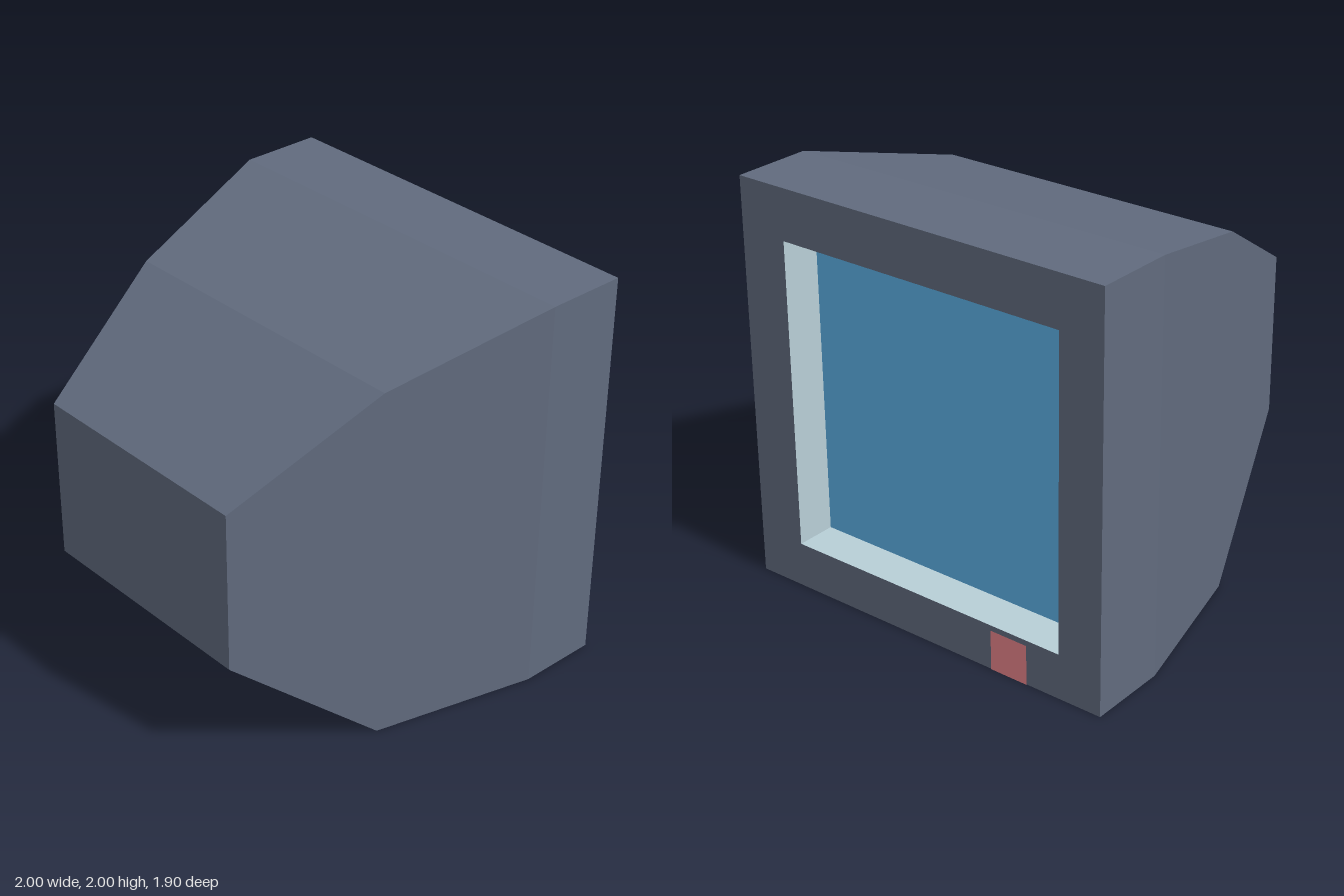
import * as THREE from 'three';

const casing = new THREE.MeshStandardMaterial({ color: 0x616b7e });
casing.name = 'slate casing';
const trim = new THREE.MeshStandardMaterial({ color: 0xb8cfd7 });
trim.name = 'pale trim';
const glass = new THREE.MeshStandardMaterial({ color: 0x5cb0e6 });
glass.name = 'blue glass';
const red = new THREE.MeshStandardMaterial({ color: 0xe6838a });
red.name = 'red button';

// Flat-faced skin through rectangular sections [z, left x, right x, bottom y, top y]
function loft(sections, capEnd) {
  const rings = sections.map(([z, x0, x1, y0, y1]) => [[x0, y0, z], [x1, y0, z], [x1, y1, z], [x0, y1, z]]);
  const pos = [];
  const quad = (a, b, c, d) => pos.push(...a, ...b, ...c, ...a, ...c, ...d);
  for (let i = 0; i < rings.length - 1; i++) {
    const a = rings[i], b = rings[i + 1];
    for (let k = 0; k < 4; k++) {
      const n = (k + 1) % 4;
      quad(a[k], a[n], b[n], b[k]);
    }
  }
  if (capEnd) quad(...rings[rings.length - 1]);
  const geo = new THREE.BufferGeometry();
  geo.setAttribute('position', new THREE.Float32BufferAttribute(pos, 3));
  geo.computeVertexNormals();
  return geo;
}

function rectPoints(x0, x1, y0, y1) {
  return [[x0, y0], [x1, y0], [x1, y1], [x0, y1]].map(([x, y]) => new THREE.Vector2(x, y));
}

// Flat face looking toward -z; x is mirrored by the half turn
function faceBack(shape, z) {
  return new THREE.ShapeGeometry(shape).rotateY(Math.PI).translate(0, 0, z);
}

export function createModel() {
  const group = new THREE.Group();
  group.name = 'monitor';
  const add = (name, geo, mat) => {
    const mesh = new THREE.Mesh(geo, mat);
    mesh.name = name;
    group.add(mesh);
  };

  const zFace = -0.95, zScreen = -0.75;
  const open = { x0: -0.775, x1: 0.75, y0: 0.225, y1: 1.75 };

  // Tapering housing
  add('housing', loft([
    [zFace, -1, 1, 0, 2],
    [-0.55, -1, 1, 0, 2],
    [0.25, -0.8, 0.8, 0, 1.8],
    [0.95, -0.6, 0.6, 0.6, 1.4],
  ], true), casing);

  // Bezel with the screen opening
  const bezel = new THREE.Shape(rectPoints(-1, 1, 0, 2));
  bezel.holes.push(new THREE.Path(rectPoints(-open.x1, -open.x0, open.y0, open.y1)));
  add('bezel', faceBack(bezel, zFace), casing);

  // Inward-facing walls of the recess, ordered deep to shallow
  add('screenRecess', loft([
    [zScreen, open.x0, open.x1, open.y0, open.y1],
    [zFace, open.x0, open.x1, open.y0, open.y1],
  ], false), trim);

  add('screen', faceBack(new THREE.Shape(rectPoints(-open.x1, -open.x0, open.y0, open.y1)), zScreen), glass);

  // Power button set into the lower bezel
  add('powerButton', faceBack(new THREE.Shape(rectPoints(0.4, 0.6, 0, 0.2)), zFace - 0.003), red);

  return group;
}
